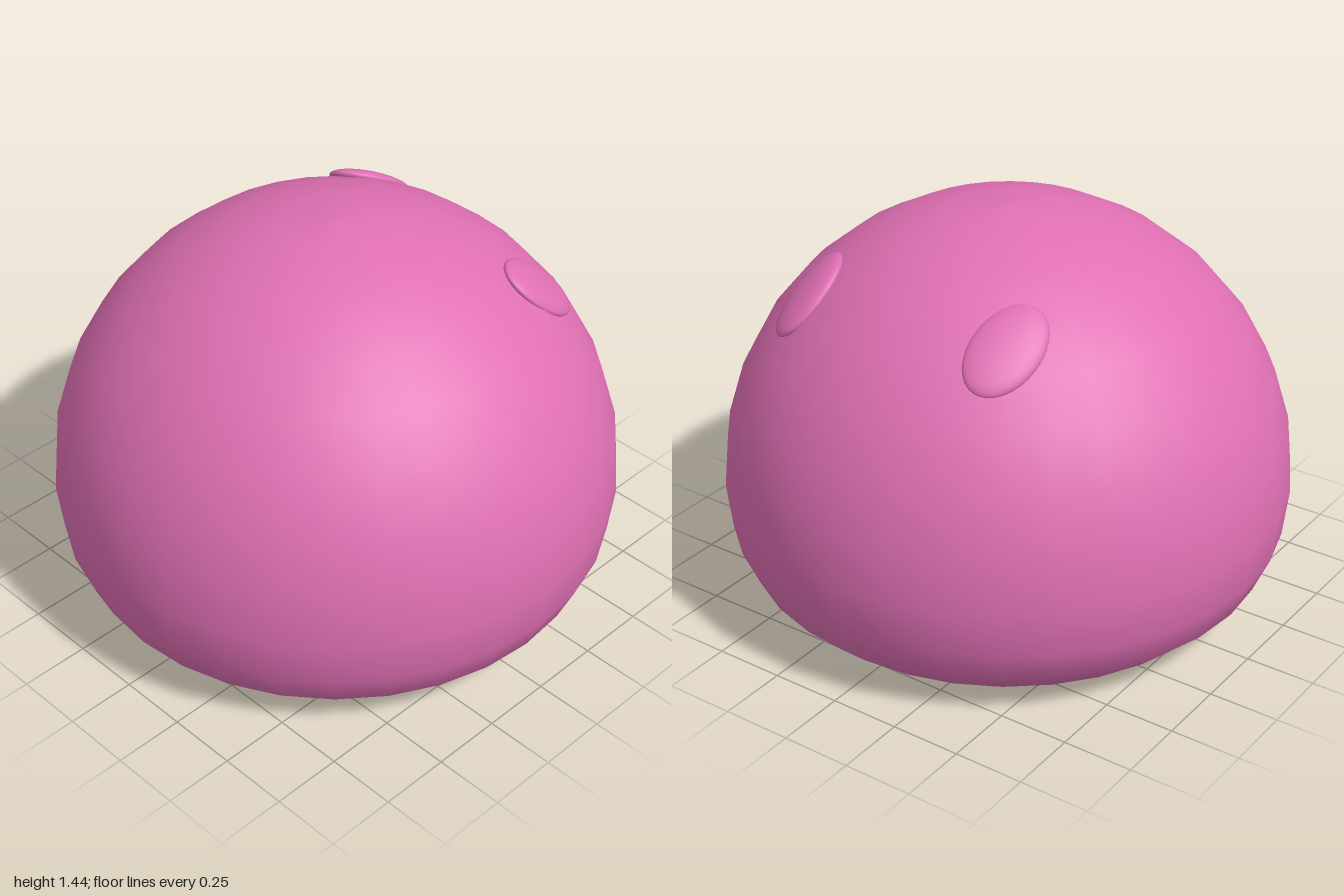
import * as THREE from 'three';

const SEGMENTS = 32, RINGS = 16;
const EQUATOR = 0.45, DOME_HEIGHT = 0.99;

// Heights of the flattened underside rings, from the pole up to the equator
const UNDERSIDE = [0, 0, 0.001, 0.005, 0.02, 0.065, 0.15, 0.28, EQUATOR];

export function createModel() {
  const group = new THREE.Group();
  const pink = new THREE.MeshStandardMaterial({ color: 0xe070b4 });

  // Body: round dome above the equator, squashed flat below
  const profile = [];
  for (let i = 0; i <= RINGS; i++) {
    const angle = (i / RINGS) * Math.PI;
    const y = i <= RINGS / 2 ? UNDERSIDE[i] : EQUATOR - DOME_HEIGHT * Math.cos(angle);
    profile.push(new THREE.Vector2(i % RINGS === 0 ? 0 : Math.sin(angle), y));
  }
  const body = new THREE.Mesh(new THREE.LatheGeometry(profile, SEGMENTS), pink);
  body.name = 'body';
  group.add(body);

  // Eyes: thin oval lenses lying tangent to the dome
  const eyeGeometry = new THREE.SphereGeometry(1, 32, 16);
  const addEye = (name, x, y, z) => {
    const normal = new THREE.Vector3(x, y - EQUATOR, z).normalize();
    const long = new THREE.Vector3(0.82, -0.57, 0.12);
    long.addScaledVector(normal, -long.dot(normal)).normalize();
    const short = new THREE.Vector3().crossVectors(normal, long);
    const eye = new THREE.Mesh(eyeGeometry, pink);
    eye.name = name;
    eye.quaternion.setFromRotationMatrix(new THREE.Matrix4().makeBasis(long, short, normal));
    eye.scale.set(0.177, 0.115, 0.035);
    eye.position.set(x, y, z);
    group.add(eye);
  };
  addEye('frontEye', 0.49, 1.165, 0.47);
  addEye('backEye', 0.525, 1.205, -0.36);

  return group;
}
